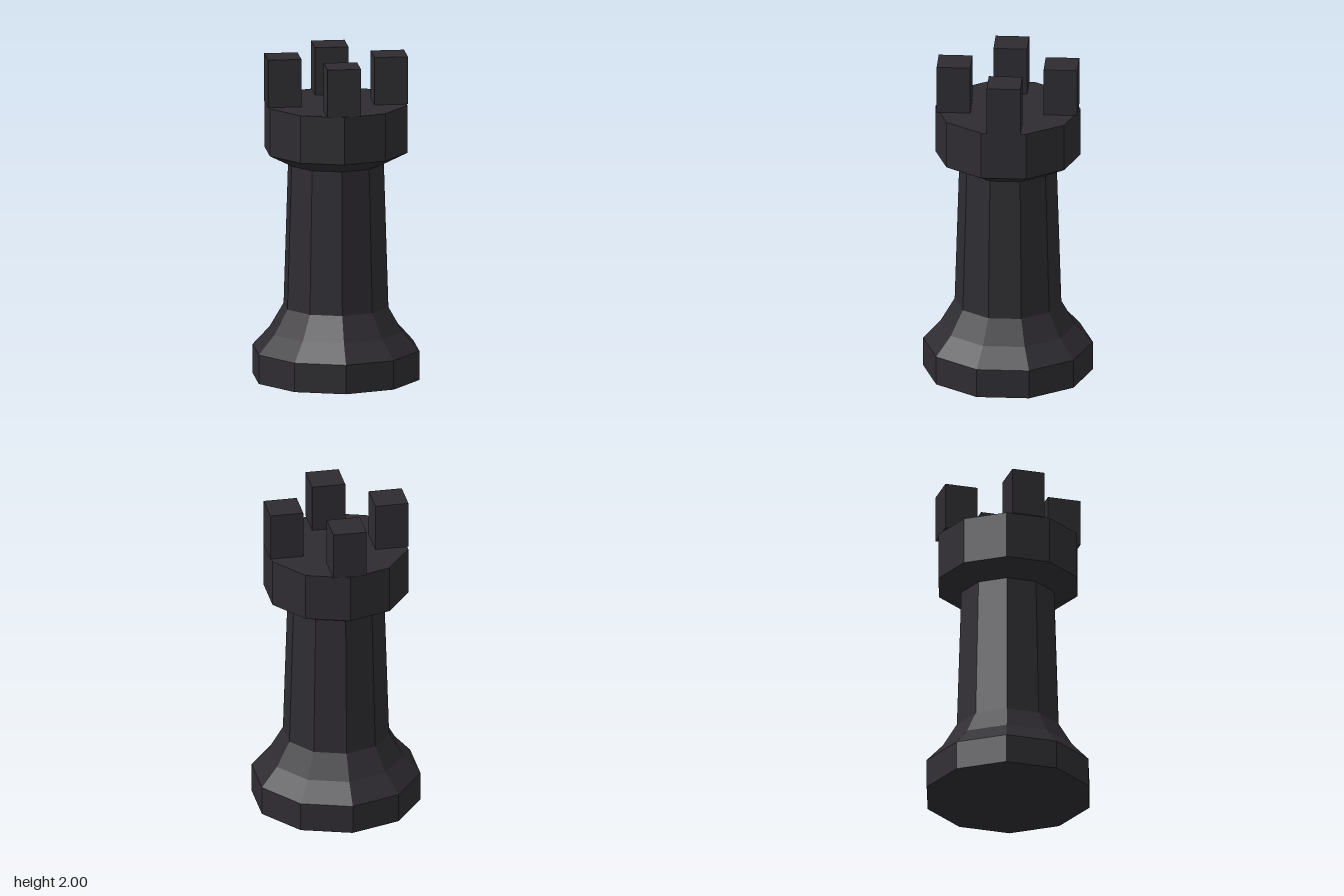
import * as THREE from 'three';

const SIDES = 10;

export function createModel() {
  const model = new THREE.Group();
  model.name = 'rook';
  const material = new THREE.MeshStandardMaterial({ color: 0x2e2c31, flatShading: true });

  function add(name, geometry) {
    const mesh = new THREE.Mesh(geometry, material);
    mesh.name = name;
    model.add(mesh);
    return mesh;
  }

  // Ten-sided turned sections, each a profile of [radius, height] from bottom to top
  const sections = {
    base: [[0, 0], [0.517, 0], [0.517, 0.18]],
    flare: [[0.517, 0.18], [0.412, 0.295], [0.325, 0.445]],
    shaft: [[0.325, 0.445], [0.297, 1.335]],
    crown: [[0.297, 1.335], [0.443, 1.41], [0.443, 1.705], [0, 1.705]],
  };
  for (const [name, profile] of Object.entries(sections)) {
    const points = profile.map(([r, y]) => new THREE.Vector2(r, y));
    add(name, new THREE.LatheGeometry(points, SIDES));
  }

  // Four square merlons on the axes
  const width = 0.205, height = 0.295, reach = 0.326;
  for (let i = 0; i < 4; i++) {
    const angle = (i * Math.PI) / 2;
    const merlon = add('merlon' + (i + 1), new THREE.BoxGeometry(width, height, width));
    merlon.position.set(Math.sin(angle) * reach, 1.705 + height / 2, Math.cos(angle) * reach);
  }

  return model;
}
